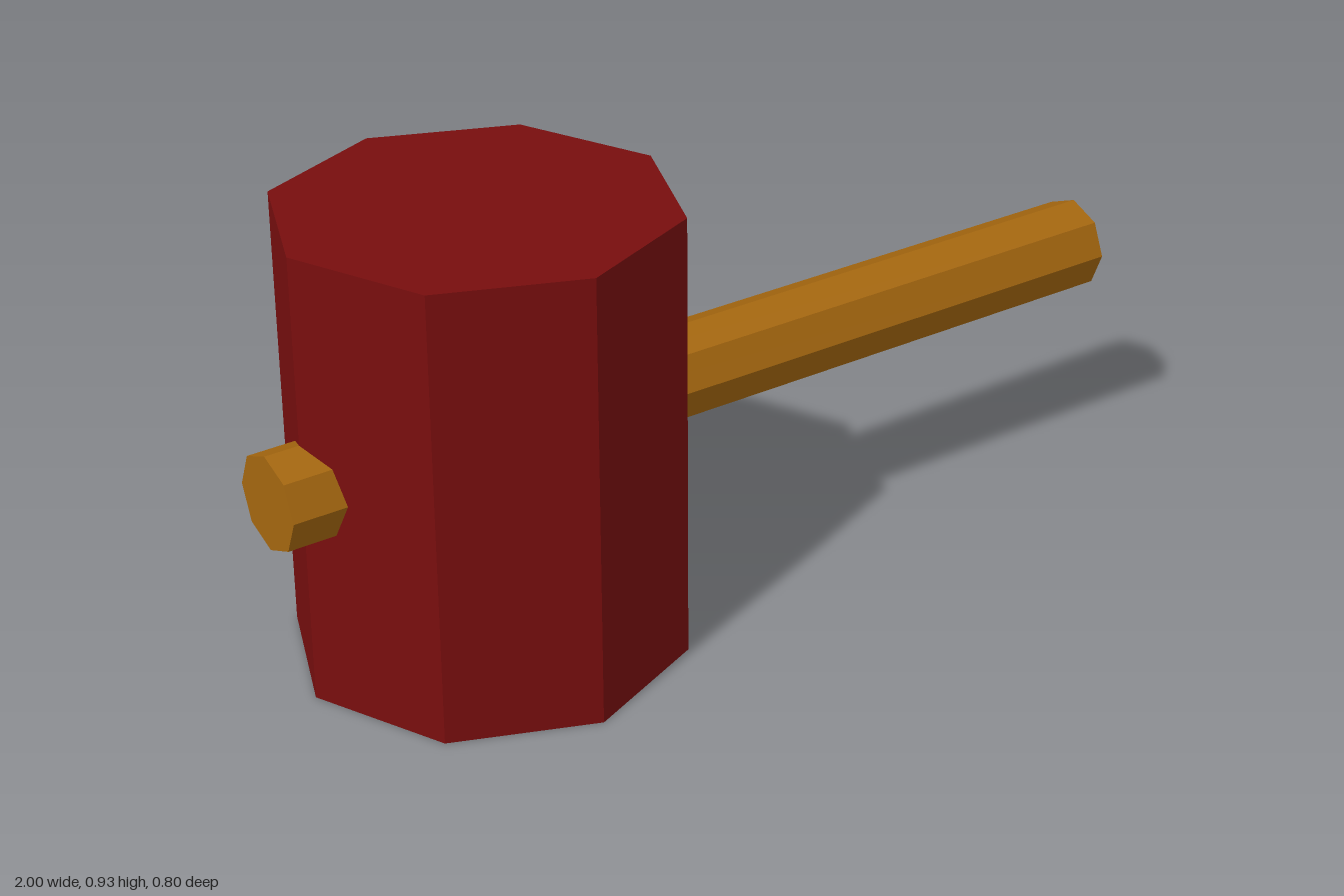
import * as THREE from 'three';

const SIDES = 8;

function octagonalBar(name, radius, length, material) {
  const mesh = new THREE.Mesh(new THREE.CylinderGeometry(radius, radius, length, SIDES), material);
  mesh.name = name;
  return mesh;
}

export function createModel() {
  const redPaint = new THREE.MeshStandardMaterial({ color: 0x780e0e, flatShading: true });
  redPaint.name = 'red paint';
  const wood = new THREE.MeshStandardMaterial({ color: 0xa5670f, flatShading: true });
  wood.name = 'wood';

  const mallet = new THREE.Group();
  mallet.name = 'mallet';

  // Upright octagonal head, offset towards one end of the handle
  const head = octagonalBar('head', 0.4, 0.934, redPaint);
  head.position.set(-0.527, 0.467, 0);

  // Handle running sideways right through the head
  const handle = octagonalBar('handle', 0.099, 2, wood);
  handle.rotation.z = Math.PI / 2;
  handle.position.y = 0.452;

  mallet.add(head, handle);
  return mallet;
}
